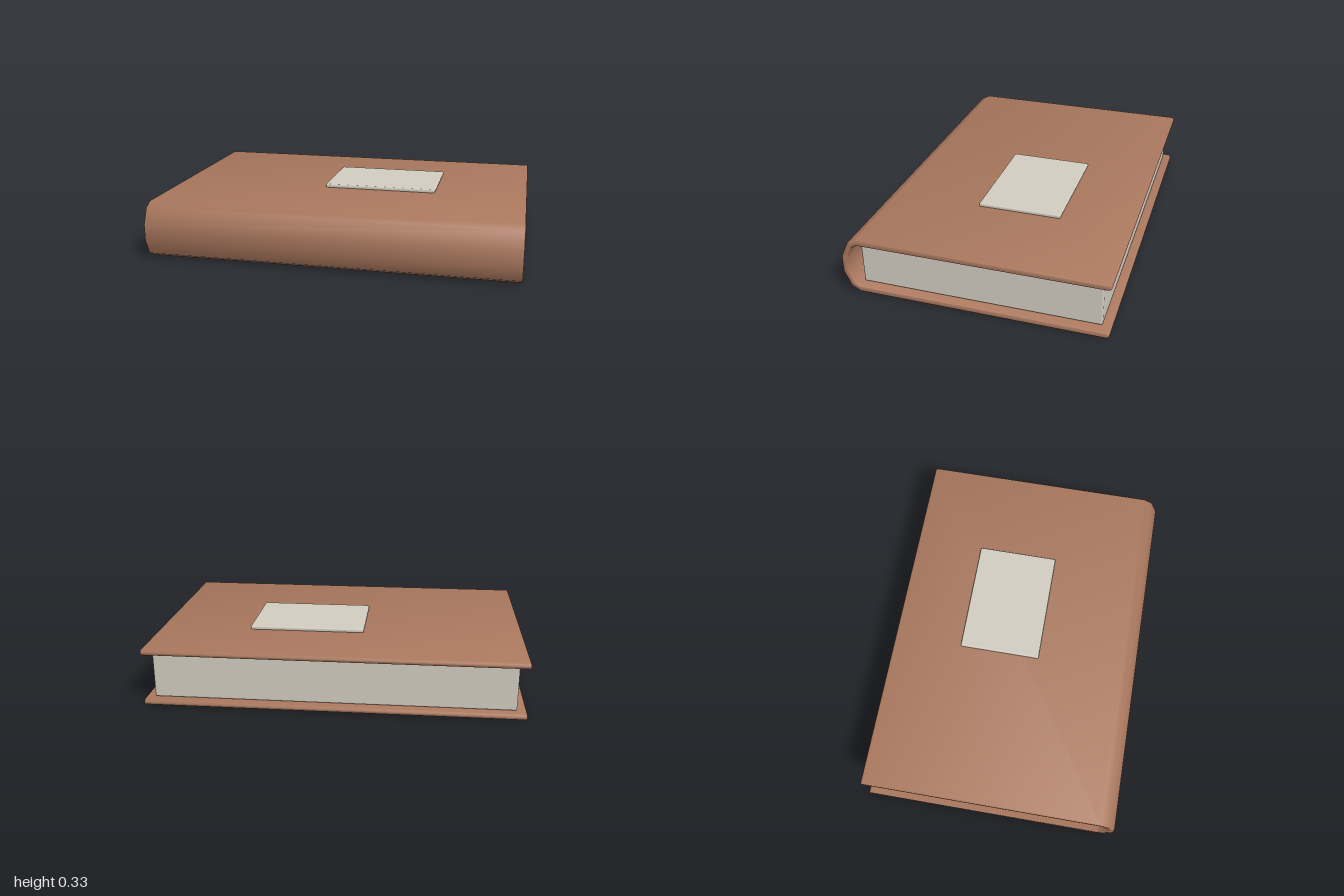
import * as THREE from 'three';
import { toCreasedNormals } from 'three/addons/utils/BufferGeometryUtils.js';
import { RoundedBoxGeometry } from 'three/addons/geometries/RoundedBoxGeometry.js';

const HEIGHT = 0.31;
const BOARD = 0.032;

// Wrapped cover: a U-shaped profile in (z, y), swept along x
function coverGeometry() {
  const outer = [[0.61, 0], [0.66, 0.026], [0.698, 0.11]];
  const inner = [[0.61, BOARD], [0.637, 0.05], [0.668, 0.117]];
  const flip = (pts) => pts.map(([z, y]) => [z, HEIGHT - y]).reverse();
  const r = BOARD / 2;
  const tip = (cy) => [0, 1, 2, 3, 4].map((i) => { // rounded free edge of a board
    const a = Math.PI / 2 + (i * Math.PI) / 4;
    return [-0.7 + r + r * Math.cos(a), cy + r * Math.sin(a)];
  });
  const profile = [
    ...outer, ...flip(outer), ...tip(HEIGHT - r),
    ...flip(inner).reverse(), ...inner.slice().reverse(), ...tip(r),
  ];
  const shape = new THREE.Shape(profile.map(([z, y]) => new THREE.Vector2(z, y)));
  const bevel = 0.008;
  const geo = new THREE.ExtrudeGeometry(shape, {
    depth: 2 - 2 * bevel, bevelEnabled: true, bevelThickness: bevel,
    bevelSize: bevel, bevelOffset: -bevel, bevelSegments: 2,
  });
  geo.translate(0, 0, -1 + bevel);
  geo.rotateY(-Math.PI / 2);
  return toCreasedNormals(geo, 0.85);
}

// Soft-edged block from its minimum and maximum corners
function block(name, min, max, radius, material) {
  const size = max.map((v, i) => v - min[i]);
  const mesh = new THREE.Mesh(new RoundedBoxGeometry(...size, 2, radius), material);
  mesh.position.set(...max.map((v, i) => (v + min[i]) / 2));
  mesh.name = name;
  return mesh;
}

export function createModel() {
  const leather = new THREE.MeshStandardMaterial({ color: 0xa9775d });
  leather.name = 'brown leather';
  const paper = new THREE.MeshStandardMaterial({ color: 0xd0cbbf });
  paper.name = 'cream paper';

  const book = new THREE.Group();
  book.name = 'book';

  const cover = new THREE.Mesh(coverGeometry(), leather);
  cover.name = 'cover';
  book.add(cover);

  // Page block inset between the boards, and the raised title plate
  book.add(block('pages', [-0.95, 0.034, -0.655], [0.95, 0.276, 0.61], 0.01, paper));
  book.add(block('titlePlate', [-0.135, 0.308, -0.315], [0.495, 0.33, 0.135], 0.008, paper));
  return book;
}
